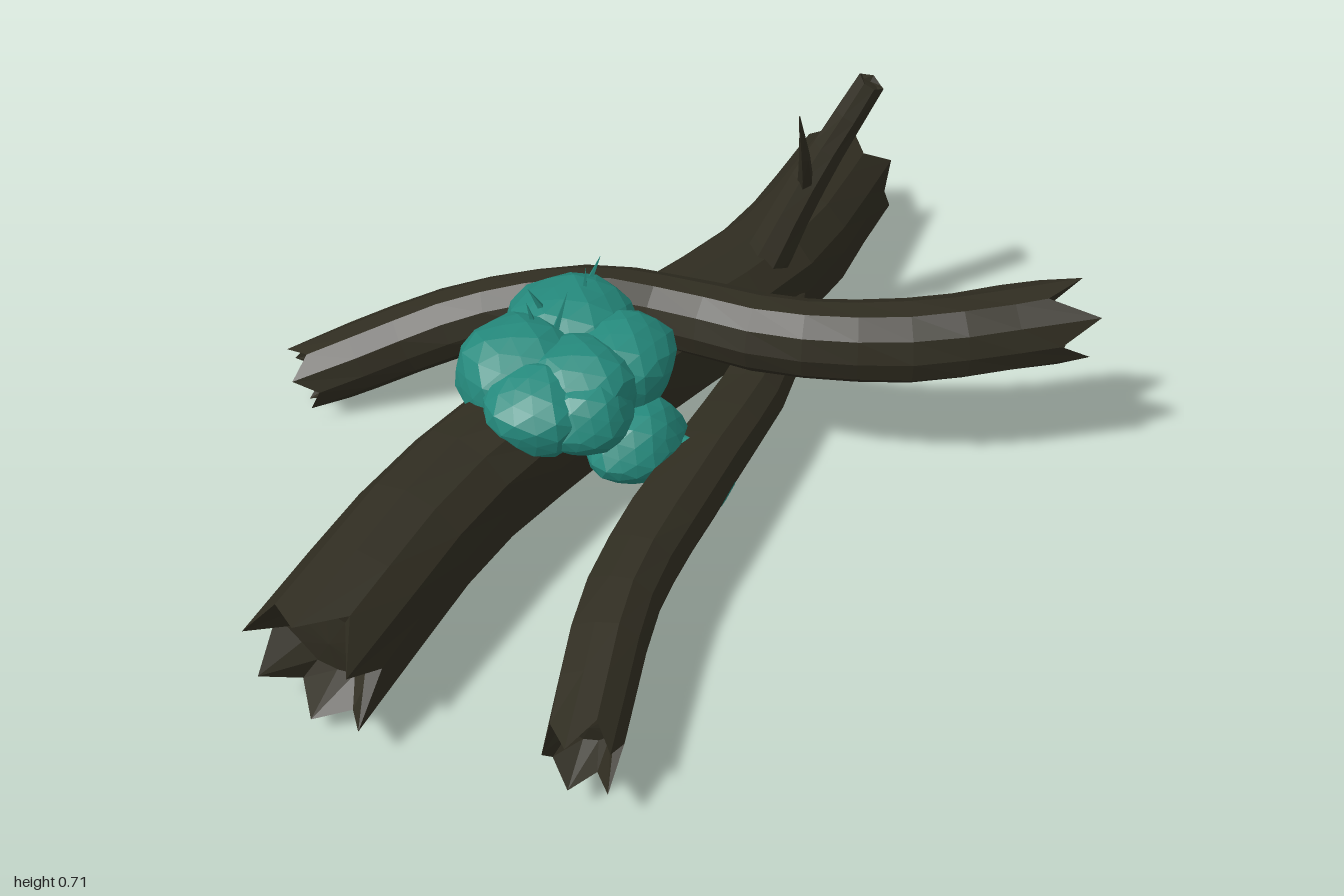
import * as THREE from 'three';

const bark = new THREE.MeshStandardMaterial({ color: 0x302d21 });
bark.name = 'dark bark';
const moss = new THREE.MeshStandardMaterial({ color: 0x258a7d });
moss.name = 'teal moss';

// Small seeded random number generator
let seed = 7;
const rand = (a = 0, b = 1) => {
  seed = (seed * 16807) % 2147483647;
  return a + (b - a) * (seed / 2147483647);
};

const faceted = (geo) => {
  const g = geo.index ? geo.toNonIndexed() : geo;
  g.computeVertexNormals();
  return g;
};

// Faceted limb along a curve; radii run evenly along it, spike is the length of the splinters
function limb(name, points, radii, { sides = 10, steps = 12, spike = 0.07, rough = 0.08 } = {}) {
  const curve = new THREE.CatmullRomCurve3(points.map((p) => new THREE.Vector3(...p)));
  const ridge = Array.from({ length: sides }, () => rand(1 - rough, 1 + rough));
  const up = new THREE.Vector3(0, 1, 0);
  const rings = [];
  const ring = (t, scale, offset) => {
    const c = curve.getPointAt(t);
    const tan = curve.getTangentAt(t);
    const n = new THREE.Vector3().crossVectors(tan, up).normalize();
    const b = new THREE.Vector3().crossVectors(tan, n);
    const f = t * (radii.length - 1);
    const k = Math.min(Math.floor(f), radii.length - 2);
    const r = THREE.MathUtils.lerp(radii[k], radii[k + 1], f - k) * scale;
    rings.push(ridge.map((w, j) => {
      const a = (j / sides) * Math.PI * 2;
      const rr = r * w * rand(0.98, 1.02);
      return c.clone().addScaledVector(n, rr * Math.cos(a)).addScaledVector(b, rr * Math.sin(a))
        .addScaledVector(tan, offset(j));
    }));
  };
  // Broken end: splintered rim around a sunken core
  const splinter = (j) => spike * (j % 2 ? rand(0.45, 1) : rand(-0.7, 0.1));
  ring(0, 0, () => spike * 0.5);
  ring(0, 0.65, () => spike * 0.6);
  ring(0, 1.0, (j) => -splinter(j));
  for (let i = 1; i < steps; i++) ring(i / steps, 1, () => 0);
  ring(1, 1.0, splinter);
  ring(1, 0.65, () => -spike * 0.6);
  ring(1, 0, () => -spike * 0.5);

  const pos = [];
  for (let i = 0; i < rings.length - 1; i++) {
    for (let j = 0; j < sides; j++) {
      const k = (j + 1) % sides;
      const [a, b, c, d] = [rings[i][j], rings[i][k], rings[i + 1][k], rings[i + 1][j]];
      for (const v of [a, b, c, a, c, d]) pos.push(v.x, v.y, v.z);
    }
  }
  const geo = new THREE.BufferGeometry();
  geo.setAttribute('position', new THREE.Float32BufferAttribute(pos, 3));
  const mesh = new THREE.Mesh(faceted(geo), bark);
  mesh.name = name;
  return mesh;
}

// Lumpy faceted moss cushion
function cushion([x, y, z, rx, ry, rz]) {
  const geo = new THREE.IcosahedronGeometry(1, 2);
  const p = geo.attributes.position;
  const v = new THREE.Vector3();
  const phase = rand(0, 6);
  for (let i = 0; i < p.count; i++) {
    v.fromBufferAttribute(p, i);
    const bump = 1 + 0.05 * Math.sin(v.x * 5 + phase) * Math.cos(v.z * 4 - phase) + 0.03 * Math.sin(v.y * 6 + phase);
    v.multiplyScalar(bump);
    p.setXYZ(i, v.x * rx, v.y * ry, v.z * rz);
  }
  const mesh = new THREE.Mesh(faceted(geo), moss);
  mesh.position.set(x, y, z);
  mesh.rotation.y = rand(-0.3, 0.3);
  mesh.name = 'mossCushion';
  return mesh;
}

// Thin blade standing in the moss
function blade([x, y, z, h, lean]) {
  const geo = new THREE.ConeGeometry(0.008, h, 4);
  geo.translate(0, h / 2, 0);
  const mesh = new THREE.Mesh(faceted(geo), moss);
  mesh.position.set(x, y, z);
  mesh.rotation.set(lean * 0.6, 0, -lean);
  mesh.name = 'mossBlade';
  return mesh;
}

export function createModel() {
  seed = 7;
  const model = new THREE.Group();
  model.name = 'mossyLogPile';

  // Logs
  model.add(limb('mainLog',
    [[-0.92, 0.155, 0.085], [-0.5, 0.185, -0.025], [0, 0.19, -0.06], [0.5, 0.18, -0.075], [0.92, 0.15, -0.21]],
    [0.125, 0.125, 0.125, 0.125, 0.122], { sides: 12, spike: 0.075 }));
  model.add(limb('thinLog',
    [[-0.72, 0.13, 0.545], [-0.45, 0.15, 0.375], [-0.1, 0.155, 0.25], [0.2, 0.15, 0.15], [0.42, 0.15, 0.02]],
    [0.068, 0.075, 0.075, 0.07, 0.06], { spike: 0.07 }));
  model.add(limb('crossLog',
    [[-0.36, 0.085, -0.61], [-0.1, 0.2, -0.4], [0.04, 0.28, -0.18], [0.085, 0.325, 0.02],
      [0.16, 0.335, 0.23], [0.31, 0.345, 0.43], [0.54, 0.365, 0.62]],
    [0.075, 0.078, 0.074, 0.075, 0.08, 0.085, 0.085], { steps: 16, spike: 0.06 }));

  // Upright broken branch with its twig
  model.add(limb('branch',
    [[0.4, 0.23, -0.03], [0.47, 0.44, 0.025], [0.52, 0.57, 0.065], [0.57, 0.685, 0.1]],
    [0.052, 0.042, 0.034, 0.029], { sides: 7, steps: 6, spike: 0.008 }));
  model.add(limb('twig',
    [[0.475, 0.43, 0.025], [0.43, 0.53, 0.055], [0.355, 0.695, 0.09]],
    [0.02, 0.012, 0.001], { sides: 5, steps: 4, spike: 0.002 }));

  // Moss: x, y, z and radii
  const mossPatch = new THREE.Group();
  mossPatch.name = 'moss';
  [
    [-0.25, 0.315, -0.09, 0.13, 0.1, 0.125],
    [-0.1, 0.32, -0.1, 0.14, 0.1, 0.135],
    [-0.3, 0.31, 0.01, 0.105, 0.085, 0.11],
    [-0.1, 0.31, 0.03, 0.13, 0.095, 0.11],
    [-0.21, 0.32, 0.03, 0.11, 0.09, 0.12],
    [-0.24, 0.3, 0.08, 0.1, 0.08, 0.09],
    [-0.15, 0.2, 0.13, 0.11, 0.08, 0.085],
    [-0.1, 0.14, 0.22, 0.095, 0.075, 0.1],
    [0.09, 0.28, -0.14, 0.04, 0.05, 0.055],
  ].forEach((c) => mossPatch.add(cushion(c)));

  // Blades: x, y, z, height and lean
  [
    [-0.18, 0.39, -0.06, 0.09, 0.25], [-0.16, 0.4, -0.12, 0.06, -0.4], [-0.06, 0.39, -0.1, 0.065, 0.05],
    [-0.02, 0.38, -0.13, 0.07, 0.35], [-0.2, 0.39, -0.1, 0.06, -0.2],
  ].forEach((b) => mossPatch.add(blade(b)));
  model.add(mossPatch);

  return model;
}
